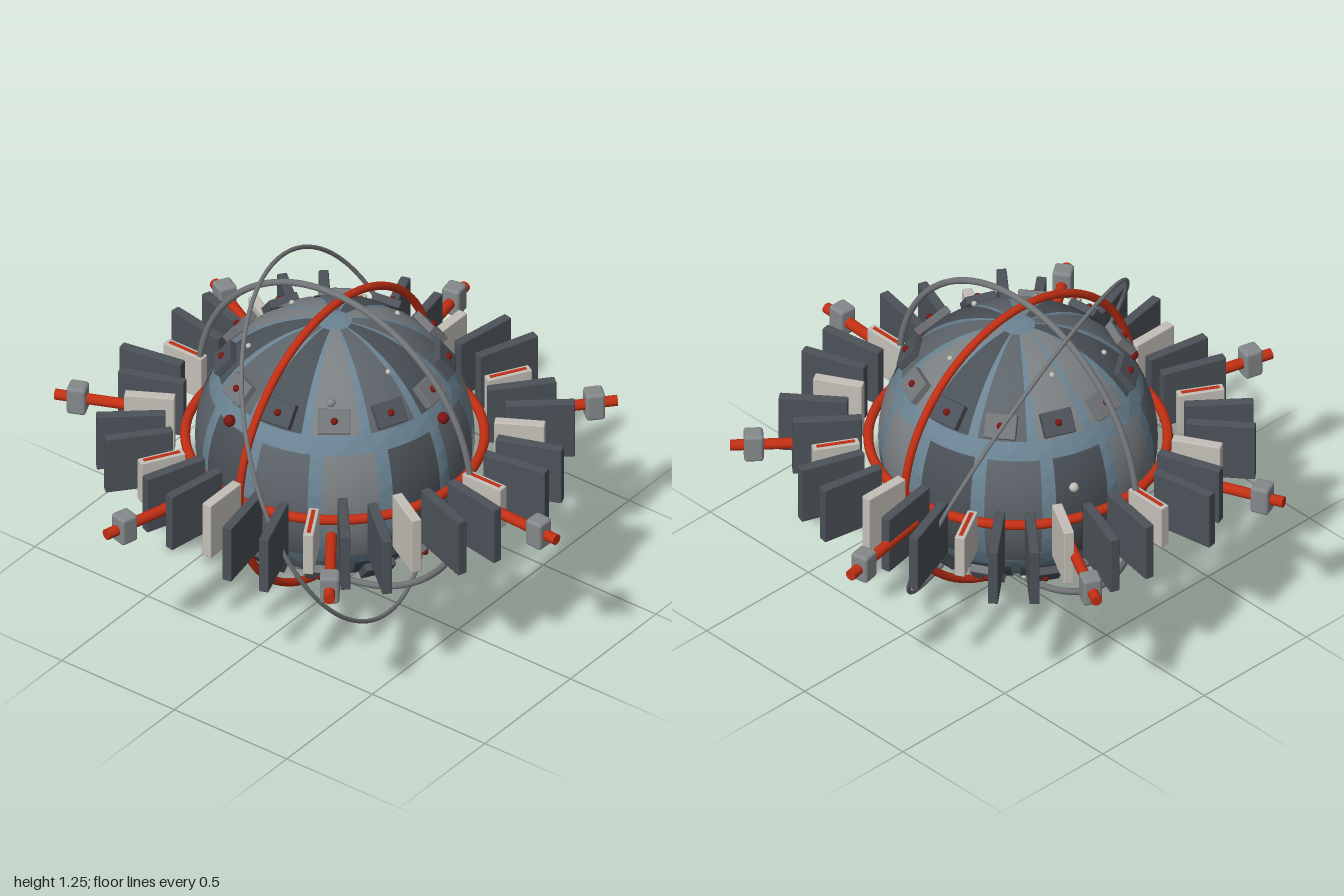
import * as THREE from 'three';
import { RoundedBoxGeometry } from 'three/addons/geometries/RoundedBoxGeometry.js';

const DEG = Math.PI / 180;
const mat = (color, extra = {}) => new THREE.MeshStandardMaterial({ color, ...extra });

export function createModel() {
  const model = new THREE.Group();
  model.name = 'orbitalStation';
  const core = new THREE.Group();
  core.name = 'station';
  core.position.set(-0.012, 0.633, -0.038);
  model.add(core);

  const blue = mat(0x6b8494, { flatShading: true });
  const red = mat(0xc22f14);
  const darkRed = mat(0x7a1712);
  const dark = mat(0x4c5259);
  const light = mat(0xc4c0b8);
  const steel = mat(0x85898b);
  const ringGrey = mat(0x737679);
  const hullTones = [0x4a5157, 0x7b8083, 0x5d646a].map((c) => mat(c, { side: THREE.DoubleSide }));

  const add = (name, geometry, material, parent = core) => {
    const mesh = new THREE.Mesh(geometry, material);
    mesh.name = name;
    parent.add(mesh);
    return mesh;
  };

  // Azimuth is measured from +x towards +z; local +z ends up pointing outward
  const onSphere = (object, azimuth, latitude, radius) => {
    const a = azimuth * DEG, b = latitude * DEG;
    object.position.set(Math.cos(a) * Math.cos(b), Math.sin(b), Math.sin(a) * Math.cos(b)).multiplyScalar(radius);
    const centre = core.position.clone();
    const outward = object.position.clone().multiplyScalar(2);
    if (object.parent) outward.add(centre);
    core.updateWorldMatrix(true, false);
    object.lookAt(outward);
    return object;
  };

  // Faceted inner hull
  add('hull', new THREE.IcosahedronGeometry(0.489, 6), blue);

  // Curved hull panels: upper petals, equatorial band, lower petals
  const bands = [
    { name: 'upperPetal', top: 83, bottom: 34, offset: 8, width: 25, shift: 0 },
    { name: 'equatorPanel', top: 26, bottom: -26, offset: 14, width: 24, shift: 1 },
    { name: 'lowerPetal', top: -33, bottom: -83, offset: 0, width: 25, shift: 2 },
  ];
  const tonePattern = [0, 1, 2, 0, 2, 1, 0, 2, 1, 1, 0, 2];
  for (const b of bands) {
    for (let i = 0; i < 12; i++) {
      const panel = new THREE.SphereGeometry(0.495, 8, 10,
        -b.width / 2 * DEG, b.width * DEG, (90 - b.top) * DEG, (b.top - b.bottom) * DEG);
      const tone = hullTones[tonePattern[(i + b.shift * 4) % 12]];
      add(b.name, panel, tone).rotation.y = (i * 30 + b.offset) * DEG;
    }
  }

  // Two rows of small plates, each with a red lamp
  const plateGeometry = new RoundedBoxGeometry(0.115, 0.09, 0.03, 1, 0.004);
  const lampGeometry = new THREE.SphereGeometry(0.013, 12, 8);
  for (const [latitude, offset] of [[40, 23], [-40, 0]]) {
    for (let i = 0; i < 12; i++) {
      const plate = new THREE.Group();
      plate.name = 'sensorPlate';
      core.add(plate);
      add('plateBody', plateGeometry, (i + (latitude < 0)) % 2 ? dark : ringGrey, plate);
      add('plateLamp', lampGeometry, darkRed, plate).position.z = 0.016;
      onSphere(plate, i * 30 + offset, latitude, 0.508);
    }
  }

  // Lamps and rivets scattered on the hull: azimuth, latitude, radius, material
  const studs = [
    [83, 27, 0.022, darkRed], [200, 27, 0.022, darkRed], [340, -18, 0.022, darkRed],
    [52, -26, 0.018, light], [113, -12, 0.018, light], [290, 12, 0.018, light],
    [145, 48, 0.016, steel], [100, 56, 0.01, light], [20, 58, 0.01, light],
    [285, 60, 0.01, light], [230, 52, 0.01, light], [70, -52, 0.01, light],
    [160, -55, 0.01, light], [310, -52, 0.01, light], [250, -20, 0.016, steel],
  ];
  for (const [azimuth, latitude, radius, material] of studs) {
    onSphere(add('hullStud', new THREE.SphereGeometry(radius, 12, 8), material), azimuth, latitude, 0.497);
  }

  // Rings around the hull
  const ring = (name, radius, tube, material, normal) => {
    const mesh = add(name, new THREE.TorusGeometry(radius, tube, 12, 96), material);
    mesh.quaternion.setFromUnitVectors(new THREE.Vector3(0, 0, 1), new THREE.Vector3(...normal).normalize());
  };
  ring('equatorRing', 0.53, 0.018, red, [0, 1, 0]);
  ring('uprightRing', 0.56, 0.015, red, [0, 0, 1]);
  ring('sideRing', 0.605, 0.012, ringGrey, [1, 0, 0]);
  ring('tiltedRing', 0.672, 0.008, ringGrey, [0.3, 0.4, 0.865]);

  // Radial arms around the equator; parts inside are laid out along local x
  const spoke = (name, degrees) => {
    const group = new THREE.Group();
    group.name = name;
    group.rotation.y = -degrees * DEG;
    core.add(group);
    return group;
  };

  // Thirty-six fins: dark ones, with light fins and red-striped fins at every 30 degrees
  const outerRadii = [0.85, 0.80, 0.845, 0.835];
  for (let i = 0; i < 36; i++) {
    const fin = spoke('radialFin', i * 10);
    if (i % 6 === 0) {
      add('lightFin', new RoundedBoxGeometry(0.18, 0.225, 0.038, 1, 0.004), light, fin).position.x = 0.66;
    } else if (i % 6 === 3) {
      add('stripedFin', new RoundedBoxGeometry(0.17, 0.17, 0.038, 1, 0.004), light, fin).position.x = 0.665;
      add('finStripe', new THREE.BoxGeometry(0.14, 0.174, 0.014), red, fin).position.x = 0.665;
    } else {
      const outer = outerRadii[(i * 3 + (i >> 2)) % 4];
      add('darkFin', new RoundedBoxGeometry(0.245, 0.228, 0.036, 1, 0.004), dark, fin).position.x = outer - 0.1225;
    }
  }

  // Seven red booms, each carrying a grey block
  for (let i = 0; i < 7; i++) {
    const boom = spoke('boom', 92.4 + i * 360 / 7);
    const rod = add('boomRod', new THREE.CylinderGeometry(0.02, 0.02, 0.39, 16), red, boom);
    rod.rotation.z = Math.PI / 2;
    rod.position.x = 0.825;
    add('boomBlock', new RoundedBoxGeometry(0.07, 0.11, 0.07, 2, 0.012), steel, boom).position.x = 0.937;
  }

  return model;
}
